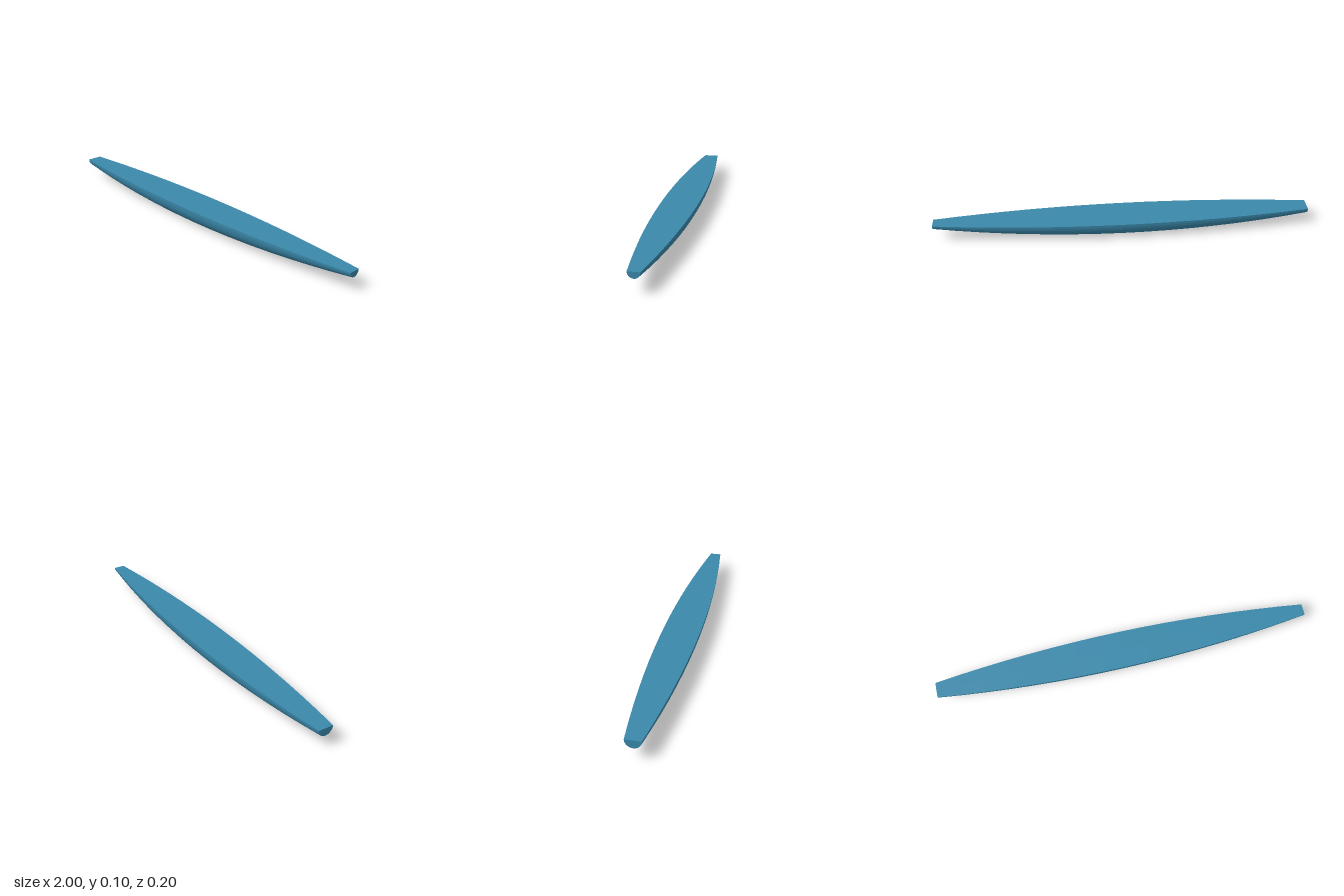
import * as THREE from 'three';

const SEGMENTS = 16;   // steps along the length
const DEPTH = 1.045;   // hull is slightly deeper than a half circle
const TOP = 0.1045;    // height of the flat top

// Half width along the length: widest near the middle, right end (-x) a little fuller
const radiusAt = (x) => 0.1 - 0.065 * x * x - 0.005 * x;

// Scale a unit cross-section by the radius at its position along x
function taper(geometry) {
  const p = geometry.attributes.position;
  for (let i = 0; i < p.count; i++) {
    const r = radiusAt(p.getX(i));
    p.setY(i, TOP + p.getY(i) * r * DEPTH);
    p.setZ(i, p.getZ(i) * r);
  }
  geometry.computeVertexNormals();
  return geometry;
}

export function createModel() {
  const group = new THREE.Group();
  group.name = 'halfSpindle';
  const material = new THREE.MeshStandardMaterial({ color: 0x3a88aa, flatShading: true });

  const add = (name, geometry) => {
    const mesh = new THREE.Mesh(taper(geometry), material);
    mesh.name = name;
    group.add(mesh);
  };

  // Rounded underside with its two half-round end faces
  add('hull', new THREE.CylinderGeometry(1, 1, 2, 20, SEGMENTS, false, 0, Math.PI).rotateZ(-Math.PI / 2));

  // Flat top, split along the centre line
  add('flatTop', new THREE.PlaneGeometry(2, 2, SEGMENTS, 2).rotateX(-Math.PI / 2));

  return group;
}
